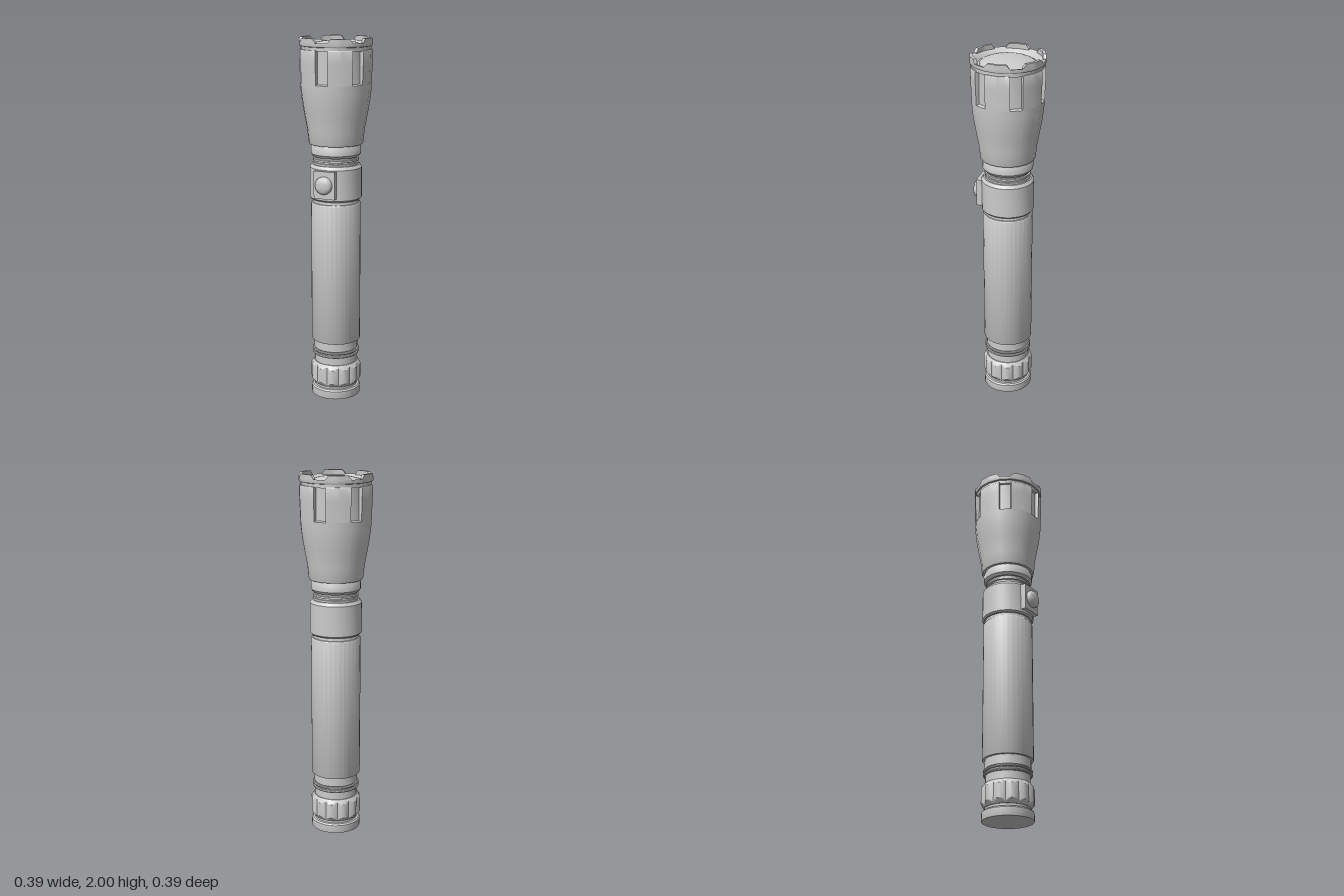
import * as THREE from 'three';
import { mergeGeometries, toCreasedNormals } from 'three/addons/utils/BufferGeometryUtils.js';

const RAD = Math.PI / 180;
const CREASE = 35 * RAD;
const material = new THREE.MeshStandardMaterial({ color: 0xcccccc });

function addMesh(parent, name, geometry) {
  const mesh = new THREE.Mesh(toCreasedNormals(geometry, CREASE), material);
  mesh.name = name;
  parent.add(mesh);
  return mesh;
}

const vectors = (pts) => pts.map(([r, y]) => new THREE.Vector2(r, y));

// Turned part; profile of [radius, height] runs upward on the outside
function turned(pts, sides = 32, start = 0) {
  return new THREE.LatheGeometry(vectors(pts), sides, start * RAD);
}

// Part of a ring: closed counterclockwise profile swept over an angle, with end caps
function sector(pts, start, span, segments) {
  const wall = new THREE.LatheGeometry(vectors([...pts, pts[0]]), segments, start * RAD, span * RAD);
  const cap = (deg) => new THREE.ShapeGeometry(new THREE.Shape(vectors(pts))).rotateY((deg - 90) * RAD);
  const endCap = cap(start + span);
  endCap.setIndex(Array.from(endCap.index.array).reverse());
  return mergeGeometries([wall, cap(start), endCap]);
}

// Rewrites every vertex in cylindrical terms: rule(r, angle, y) -> [r, y]
function reshape(geometry, rule) {
  const p = geometry.attributes.position;
  for (let i = 0; i < p.count; i++) {
    const angle = Math.atan2(p.getX(i), p.getZ(i));
    const [r, y] = rule(Math.hypot(p.getX(i), p.getZ(i)), angle, p.getY(i));
    p.setXYZ(i, r * Math.sin(angle), y, r * Math.cos(angle));
  }
  return geometry;
}

function createHead() {
  const head = new THREE.Group();
  head.name = 'head';

  // Flared shell, with a narrower core behind the slots
  addMesh(head, 'headShell', turned([
    [0, 1.435], [0.145, 1.435], [0.149, 1.445], [0.155, 1.51], [0.17, 1.59],
    [0.182, 1.66], [0.189, 1.72], [0.191, 1.76], [0.173, 1.765], [0.173, 1.94], [0, 1.94],
  ], 18, 10));

  // Raised panels between the six slots
  for (let i = 0; i < 6; i++) {
    addMesh(head, 'headPanel', sector(
      [[0.165, 1.755], [0.191, 1.76], [0.195, 1.87], [0.196, 1.935], [0.193, 1.94], [0.165, 1.94]],
      10 + i * 60, 40, 2));
  }

  // Bezel ring
  addMesh(head, 'bezel', turned([
    [0.15, 1.935], [0.187, 1.935], [0.187, 1.955], [0.194, 1.957], [0.197, 1.962],
    [0.197, 1.978], [0.18, 1.974], [0.157, 1.95], [0.14, 1.95],
  ], 18, 10));

  // Crown teeth with sloped ends, following the 18 sides of the bezel
  for (let i = 0; i < 6; i++) {
    const middle = 30 + i * 60;
    const tooth = sector([[0.18, 1.97], [0.197, 1.97], [0.197, 2], [0.18, 2]], middle - 20, 40, 8);
    addMesh(head, 'crownTooth', reshape(tooth, (r, angle, y) => {
      const offset = Math.abs(((angle / RAD - middle + 900) % 360) - 180);
      const flat = Math.cos(10 * RAD) / Math.cos(((offset % 20) - 10) * RAD);
      return [r * flat, y > 1.99 && offset > 16 ? 1.98 : y];
    }));
  }

  // Domed lens
  const dome = [];
  for (let i = 0; i <= 8; i++) {
    const t = (i / 8) * Math.PI / 2;
    dome.push([0.147 * Math.cos(t), 1.95 + 0.035 * Math.sin(t)]);
  }
  addMesh(head, 'lens', turned(dome, 18, 10));
  return head;
}

function createSwitch() {
  const group = new THREE.Group();
  group.name = 'switch';
  const plate = addMesh(group, 'switchPlate', new THREE.BoxGeometry(0.12, 0.15, 0.06));
  plate.position.set(0, 1.23, 0.13);
  const button = addMesh(group, 'switchButton', turned([
    [0.048, 0], [0.048, 0.013], [0.044, 0.02], [0.034, 0.026], [0.019, 0.03], [0, 0.031],
  ], 24));
  button.rotation.x = Math.PI / 2;
  button.position.set(0, 1.23, 0.159);
  return group;
}

function createTail() {
  const tail = new THREE.Group();
  tail.name = 'tail';
  addMesh(tail, 'tailBase', turned([
    [0, 0], [0.136, 0], [0.137, 0.004], [0.137, 0.044], [0.13, 0.052], [0.12, 0.054], [0.12, 0.08], [0, 0.08],
  ]));

  // Fluted grip ring: twelve scallops cut into a chamfered ring
  const profile = [[0.11, 0.067]];
  for (let i = 0; i <= 6; i++) profile.push([0.122 + i * 0.003, 0.067 + i * 0.004]);
  for (let i = 6; i >= 0; i--) profile.push([0.122 + i * 0.003, 0.195 - i * 0.004]);
  profile.push([0.11, 0.195]);
  addMesh(tail, 'gripRing', reshape(turned(profile, 96), (r, angle, y) =>
    [Math.min(r, 0.129 + 0.012 * Math.abs(Math.sin(angle * 6))), y]));

  // Neck and seal rings
  addMesh(tail, 'tailNeck', turned([[0.118, 0.18], [0.118, 0.27], [0.122, 0.275], [0.122, 0.33]]));
  for (const y of [0.245, 0.265]) {
    const ring = addMesh(tail, 'sealRing', new THREE.TorusGeometry(0.123, 0.0075, 8, 32).rotateX(Math.PI / 2));
    ring.position.y = y;
  }
  return tail;
}

export function createModel() {
  const model = new THREE.Group();
  model.name = 'flashlight';

  // Long handle tube
  addMesh(model, 'handle', turned([
    [0.11, 0.325], [0.134, 0.325], [0.136, 0.328], [0.136, 1.108], [0.132, 1.114], [0.126, 1.115],
    [0.126, 1.145],
  ]));

  // Switch collar
  addMesh(model, 'collar', turned([
    [0.11, 1.133], [0.134, 1.133], [0.142, 1.142], [0.142, 1.308], [0.13, 1.325], [0.11, 1.325],
  ]));

  // Neck with grooves, then the ring under the head
  addMesh(model, 'neck', turned([
    [0.122, 1.32], [0.122, 1.335], [0.116, 1.337], [0.116, 1.344], [0.124, 1.346], [0.124, 1.356],
    [0.117, 1.358], [0.117, 1.372],
  ]));
  addMesh(model, 'neckRing', turned([
    [0.11, 1.366], [0.125, 1.368], [0.136, 1.383], [0.136, 1.422], [0.131, 1.43], [0.131, 1.44],
  ]));

  model.add(createHead(), createSwitch(), createTail());
  return model;
}
